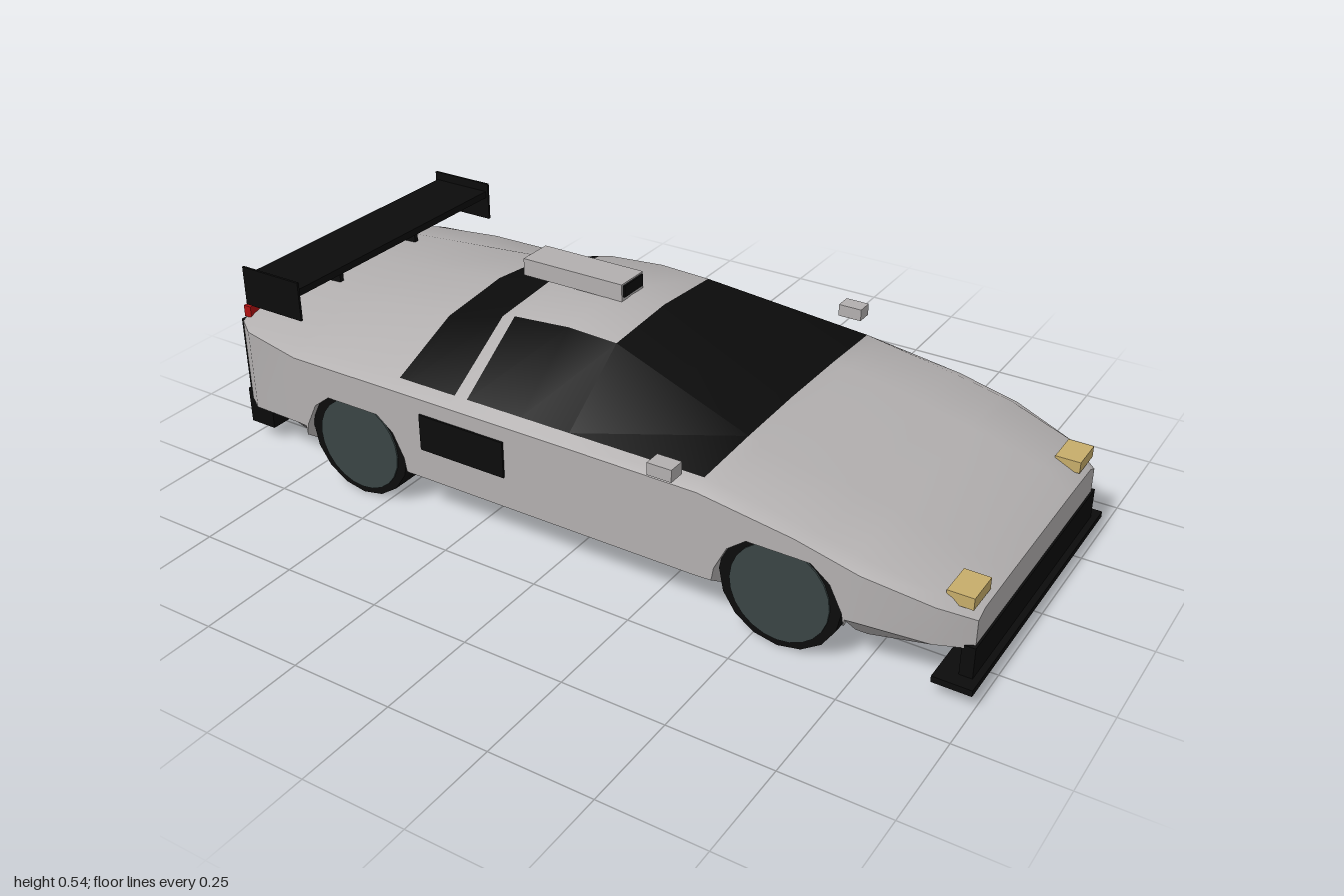
import * as THREE from 'three';
import { toCreasedNormals } from 'three/addons/utils/BufferGeometryUtils.js';

const paint = (name, color) => Object.assign(new THREE.MeshStandardMaterial({ color }), { name });
const WHEELS = [-0.575, 0.565];

// Hull keys: x, topY, ridgeZ, ridgeY, beltZ, beltY, shoulderY, halfWidth, sideLowY, floorY
const KEYS = [
  [-0.985, 0.395, 0.18, 0.385, 0.31, 0.345, 0.33, 0.345, 0.11, 0.10],
  [-0.93, 0.40, 0.19, 0.39, 0.35, 0.345, 0.33, 0.385, 0.12, 0.09],
  [-0.75, 0.41, 0.20, 0.40, 0.385, 0.345, 0.325, 0.42, 0.145, 0.075],
  [-0.445, 0.445, 0.20, 0.425, 0.39, 0.345, 0.325, 0.42, 0.115, 0.075],
  [-0.25, 0.49, 0.20, 0.475, 0.39, 0.345, 0.325, 0.42, 0.115, 0.075],
  [-0.10, 0.502, 0.20, 0.487, 0.39, 0.345, 0.325, 0.42, 0.115, 0.075],
  [0.03, 0.495, 0.20, 0.482, 0.39, 0.345, 0.325, 0.42, 0.115, 0.075],
  [0.37, 0.353, 0.20, 0.35, 0.387, 0.343, 0.323, 0.42, 0.115, 0.075],
  [0.60, 0.312, 0.20, 0.31, 0.385, 0.304, 0.29, 0.42, 0.125, 0.075],
  [0.75, 0.28, 0.20, 0.278, 0.385, 0.272, 0.255, 0.42, 0.14, 0.075],
  [0.90, 0.24, 0.20, 0.238, 0.36, 0.232, 0.215, 0.385, 0.125, 0.09],
  [0.975, 0.20, 0.18, 0.20, 0.31, 0.198, 0.185, 0.34, 0.115, 0.10],
];
// Wheel opening, as offset from the axle and height
const ARCH = [[-0.155, 0.12], [-0.15, 0.15], [-0.12, 0.21], [-0.075, 0.245],
  [0.075, 0.245], [0.12, 0.21], [0.15, 0.15], [0.155, 0.12]];

function keyAt(x) {
  let i = 0;
  while (i < KEYS.length - 2 && x > KEYS[i + 1][0]) i++;
  const a = KEYS[i], b = KEYS[i + 1];
  const t = (x - a[0]) / (b[0] - a[0]);
  return a.map((v, k) => v + (b[k] - v) * t);
}

// Closed cross-section, from the top centre round the +z side and back
function section(x, arch) {
  const [, top, rz, ry, bz, by, sy, w, low, floor] = keyAt(x);
  const edge = arch ?? low, under = arch ?? floor;
  const half = [[top, 0], [ry, rz], [by, bz], [sy, w], [edge, w],
    [under, w - 0.06], [under, 0.265], [floor, 0.265], [floor, 0]];
  const other = half.slice(1, -1).reverse().map(([y, z]) => [y, -z]);
  return [...half, ...other].map(([y, z]) => [x, y, z]);
}

function hullGeometry() {
  const stations = [...KEYS.map((k) => [k[0]]), [-0.285]];
  for (const c of WHEELS) {
    stations.push([c - 0.157], [c + 0.157]);
    for (const [dx, y] of ARCH) stations.push([c + dx, y]);
  }
  // Plain stations inside an opening take the opening's height
  for (const s of stations) {
    const c = WHEELS.find((w) => Math.abs(s[0] - w) < 0.155);
    if (c !== undefined && s[1] === undefined) {
      const d = s[0] - c, i = ARCH.findIndex((p) => p[0] >= d);
      const [p, q] = [ARCH[i - 1], ARCH[i]];
      s[1] = p[1] + (q[1] - p[1]) * (d - p[0]) / (q[0] - p[0]);
    }
  }
  stations.sort((a, b) => a[0] - b[0]);
  const rings = stations.map(([x, arch]) => section(x, arch));
  const n = rings[0].length, last = rings.length - 1;
  const bodyFaces = [], glassFaces = [];
  for (let i = 0; i < last; i++) {
    const x = (stations[i][0] + stations[i + 1][0]) / 2;
    for (let j = 0; j < n; j++) {
      const row = Math.min(j, n - 1 - j);
      const rearGlass = x > -0.445 && x < -0.285 && row < 2;
      const sideGlass = x > -0.25 && x < 0.37 && row === 1;
      const windscreen = x > 0.03 && x < 0.37 && row === 0;
      const a = i * n + j, b = i * n + (j + 1) % n;
      (rearGlass || sideGlass || windscreen ? glassFaces : bodyFaces)
        .push(a, b, a + n, b, b + n, a + n);
    }
  }
  // End caps
  const points = rings.flat();
  const rear = points.push([stations[0][0], 0.22, 0]) - 1;
  const nose = points.push([stations[last][0], 0.15, 0]) - 1;
  for (let j = 0; j < n; j++) {
    const k = (j + 1) % n;
    bodyFaces.push(rear, k, j, nose, last * n + j, last * n + k);
  }
  const g = new THREE.BufferGeometry();
  g.setAttribute('position', new THREE.Float32BufferAttribute(points.flat(), 3));
  g.setIndex([...bodyFaces, ...glassFaces]);
  g.addGroup(0, bodyFaces.length, 0);
  g.addGroup(bodyFaces.length, glassFaces.length, 1);
  return toCreasedNormals(g, 0.6);
}

export function createModel() {
  const silver = paint('silver body', 0xb2afaf);
  const black = paint('black trim', 0x0b0b0b);
  const hubGrey = paint('hub grey', 0x394444);
  const amber = paint('amber lamp', 0xc6ac6a);
  const red = paint('red lamp', 0xb01212);

  const car = new THREE.Group();
  car.name = 'sportsCar';
  const add = (name, geometry, material, x = 0, y = 0, z = 0) => {
    const mesh = new THREE.Mesh(geometry, material);
    mesh.name = name;
    mesh.position.set(x, y, z);
    car.add(mesh);
    return mesh;
  };
  // Box given by its limits on each axis
  const box = (name, material, [x0, x1], [y0, y1], [z0, z1]) =>
    add(name, new THREE.BoxGeometry(x1 - x0, y1 - y0, z1 - z0), material,
      (x0 + x1) / 2, (y0 + y1) / 2, (z0 + z1) / 2);
  const pair = (name, material, xs, ys, [z0, z1]) => {
    box(name + 'Left', material, xs, ys, [z0, z1]);
    box(name + 'Right', material, xs, ys, [-z1, -z0]);
  };

  add('bodyAndWindows', hullGeometry(), [silver, black]);

  // Wheels
  const tyre = new THREE.CylinderGeometry(0.145, 0.145, 0.12, 16).rotateX(Math.PI / 2);
  const hub = new THREE.CylinderGeometry(0.118, 0.118, 0.008, 24).rotateX(Math.PI / 2);
  for (const x of WHEELS) for (const side of [-1, 1]) {
    add('tyre', tyre, black, x, 0.145, side * 0.345);
    add('hub', hub, hubGrey, x, 0.135, side * 0.405);
  }

  // Front splitter and rear bumper
  box('splitter', black, [0.905, 0.995], [0.035, 0.05], [-0.387, 0.387]);
  box('frontBumper', black, [0.95, 0.98], [0.05, 0.125], [-0.352, 0.352]);
  box('rearPanel', black, [-0.992, -0.984], [0.1, 0.333], [-0.343, 0.343]);
  box('rearBumper', black, [-1, -0.925], [0.04, 0.11], [-0.343, 0.343]);
  box('rearBumperLip', black, [-1, -0.975], [0.11, 0.135], [-0.343, 0.343]);

  // Rear wing
  box('wing', black, [-0.93, -0.765], [0.46, 0.478], [-0.37, 0.37]);
  pair('wingEndPlate', black, [-0.935, -0.758], [0.4, 0.5], [0.367, 0.373]);
  pair('wingStrut', black, [-0.87, -0.83], [0.39, 0.462], [0.14, 0.152]);

  // Roof scoop
  box('roofScoop', silver, [-0.335, -0.057], [0.498, 0.541], [-0.045, 0.045]);
  box('scoopOpening', black, [-0.06, -0.052], [0.508, 0.537], [-0.039, 0.039]);

  // Mirrors, lamps and side vents
  pair('mirror', silver, [0.275, 0.335], [0.357, 0.387], [0.42, 0.462]);
  pair('headlamp', amber, [0.905, 0.965], [0.21, 0.238], [0.26, 0.347]);
  pair('tailLamp', red, [-0.99, -0.968], [0.337, 0.367], [0.18, 0.333]);
  pair('sideVent', black, [-0.367, -0.13], [0.195, 0.287], [0.417, 0.425]);

  return car;
}
